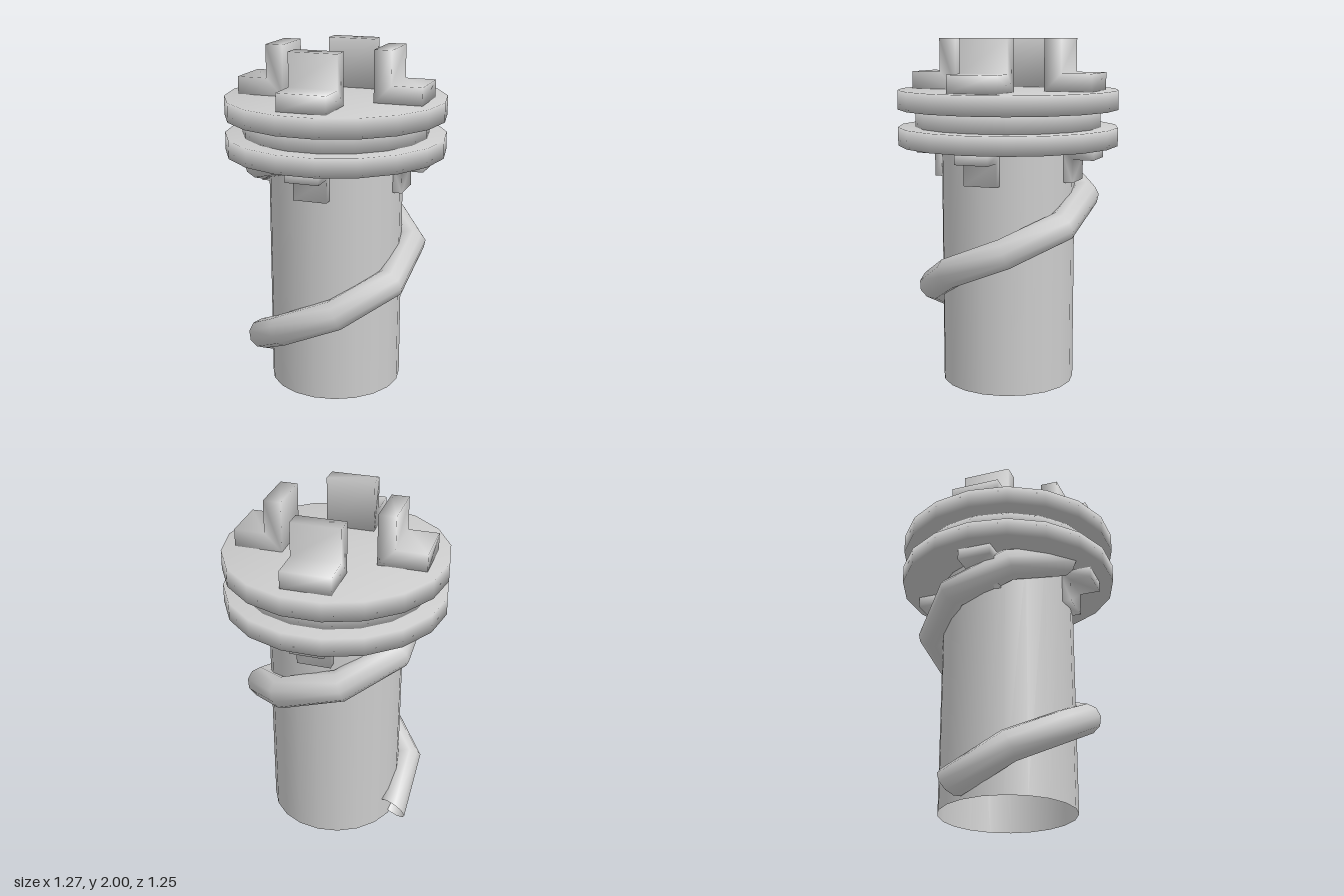
import * as THREE from 'three';
import { mergeVertices } from 'three/addons/utils/BufferGeometryUtils.js';

const grey = new THREE.MeshStandardMaterial({ color: 0xcccccc });
const greyOpen = new THREE.MeshStandardMaterial({ color: 0xcccccc, side: THREE.DoubleSide });

// Shared corner normals, so shading rolls softly over the edges
function soften(geometry) {
  geometry.deleteAttribute('normal');
  geometry.deleteAttribute('uv');
  const merged = mergeVertices(geometry, 1e-4);
  merged.computeVertexNormals();
  return merged;
}

function addMesh(parent, name, geometry, material = grey) {
  const mesh = new THREE.Mesh(geometry, material);
  mesh.name = name;
  parent.add(mesh);
  return mesh;
}

function disc(radius, bottom, top) {
  const g = new THREE.CylinderGeometry(radius, radius, top - bottom, 18);
  g.rotateY(Math.PI / 2).translate(0, (bottom + top) / 2, 0);
  return soften(g);
}

// L-shaped bracket: foot pointing outward along +x, upright on the inner side
function bracketGeometry() {
  const shape = new THREE.Shape([
    [0, 0], [0.275, 0], [0.275, 0.1], [0.1, 0.1], [0.1, 0.29], [0, 0.29],
  ].map(([x, y]) => new THREE.Vector2(x, y)));
  const g = new THREE.ExtrudeGeometry(shape, { depth: 0.28, bevelEnabled: false });
  return soften(g.translate(0, 0, -0.14));
}

// Spiral measured in quarter turns: 0 is the -x side, 1 the front, 2 the +x side
class Spiral extends THREE.Curve {
  getPoint(t, target = new THREE.Vector3()) {
    const u = -0.25 + 5 * t;
    const a = (u - 1) * Math.PI / 2;
    const y = 0.17 + 0.335 * u - 0.015 * u * u;
    return target.set(0.44 * Math.sin(a), y, 0.44 * Math.cos(a));
  }
}

export function createModel() {
  const model = new THREE.Group();
  model.name = 'spiralColumn';

  // Hollow column, open underneath
  const column = new THREE.CylinderGeometry(0.387, 0.387, 1.42, 20, 1, true);
  addMesh(model, 'column', column.translate(0, 0.71, 0), greyOpen);

  // Spiral pipe wound round the column
  const pipe = new THREE.TubeGeometry(new Spiral(), 10, 0.09, 10);
  const pos = pipe.attributes.position;
  for (let i = 0; i < pos.count; i++) pos.setY(i, Math.max(0, pos.getY(i)));
  addMesh(model, 'spiralPipe', pipe, greyOpen);

  // Head: two flanges with a narrower neck between them
  addMesh(model, 'lowerFlange', disc(0.635, 1.395, 1.5));
  addMesh(model, 'neck', disc(0.535, 1.49, 1.61));
  addMesh(model, 'upperFlange', disc(0.635, 1.6, 1.71));

  // Four brackets on top, four smaller ones hanging below the head
  const bracket = bracketGeometry();
  for (let i = 0; i < 4; i++) {
    const arm = new THREE.Group();
    arm.name = 'bracketPair' + (i + 1);
    arm.rotation.y = i * Math.PI / 2;
    addMesh(arm, 'topBracket', bracket).position.set(0.268, 1.71, 0);
    const hanging = addMesh(arm, 'hangingBracket', bracket);
    hanging.position.set(0.355, 1.4, 0);
    hanging.rotation.x = Math.PI;
    hanging.scale.setScalar(0.69);
    model.add(arm);
  }
  return model;
}
